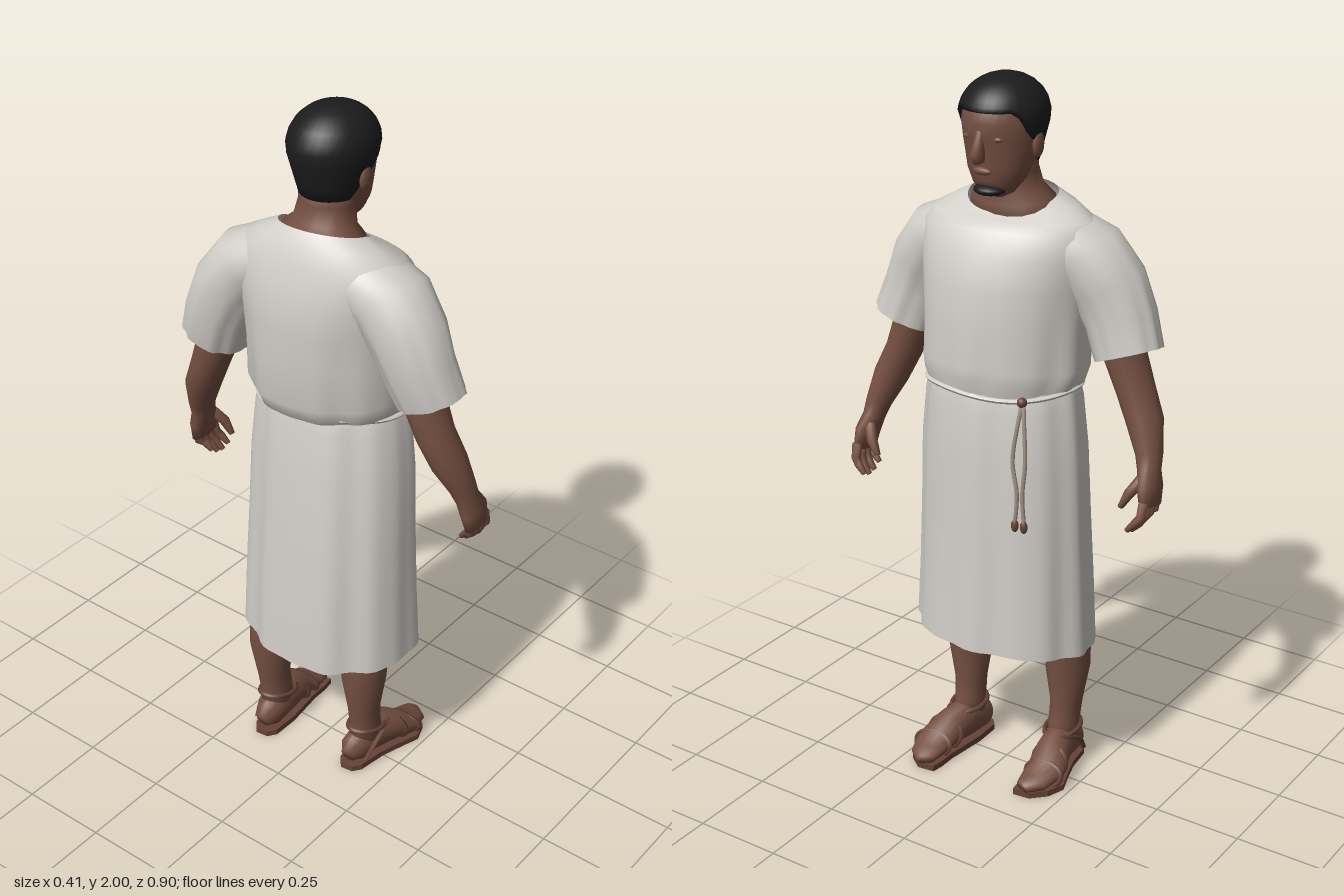
import * as THREE from 'three';

const mat = (name, color, extra = {}) => {
  const m = new THREE.MeshStandardMaterial({ color, ...extra });
  m.name = name;
  return m;
};
const V = (x, y, z) => new THREE.Vector3(x, y, z);

// Smooth skin through elliptical rings. Each ring: [x, y, z, radiusAlongSide, radiusAcross, foldDepth]
function sweep(rings, { side = V(1, 0, 0), seg = 20, caps = true, warp = null } = {}) {
  const pos = [], idx = [], n = rings.length;
  const c = rings.map(r => V(r[0], r[1], r[2]));
  rings.forEach((r, i) => {
    const d = c[Math.min(i + 1, n - 1)].clone().sub(c[Math.max(i - 1, 0)]).normalize();
    const u = side.clone().addScaledVector(d, -side.dot(d)).normalize();
    const v = d.clone().cross(u);
    for (let j = 0; j < seg; j++) {
      const a = (j / seg) * Math.PI * 2;
      const f = 1 + (r[5] || 0) * (Math.cos(9 * a + 0.6) + 0.6 * Math.cos(14 * a + 1) + 0.4 * Math.sin(5 * a));
      const p = c[i].clone().addScaledVector(u, Math.cos(a) * r[3] * f).addScaledVector(v, Math.sin(a) * r[4] * f);
      if (warp) warp(p, i);
      pos.push(p.x, p.y, p.z);
    }
  });
  for (let i = 0; i < n - 1; i++) for (let j = 0; j < seg; j++) {
    const a = i * seg + j, b = i * seg + (j + 1) % seg;
    idx.push(a, b, b + seg, a, b + seg, a + seg);
  }
  if (caps) {
    const s = pos.length / 3;
    pos.push(...c[0].toArray(), ...c[n - 1].toArray());
    for (let j = 0; j < seg; j++) {
      const k = (j + 1) % seg, e = (n - 1) * seg;
      idx.push(s, k, j, s + 1, e + j, e + k);
    }
  }
  const g = new THREE.BufferGeometry();
  g.setAttribute('position', new THREE.Float32BufferAttribute(pos, 3));
  g.setIndex(idx);
  return g;
}

const tube = (pts, r, closed = false, seg = 32) =>
  new THREE.TubeGeometry(new THREE.CatmullRomCurve3(pts, closed), seg, r, 6, closed);
const loop = (fn, r, n = 24) =>
  tube(Array.from({ length: n }, (_, i) => fn((i / n) * Math.PI * 2)), r, true, n * 2);
const ball = (x, y, z, rx, ry, rz) => new THREE.SphereGeometry(1, 16, 12).scale(rx, ry, rz).translate(x, y, z);

// Cap of hair whose lower edge follows the hairline, with an inward lip
function hairGeometry() {
  const rows = 10, { smoothstep } = THREE.MathUtils;
  const rings = Array.from({ length: rows + 2 }, (_, i) => [0, 1.7 + i * 0.02, 0, 1, 1]);
  return sweep(rings, {
    seg: 32, caps: false, warp: (p, i) => {
      const front = (p.x + 1) / 2;
      const bottom = 1.775 + 0.07 * smoothstep(front, 0.3, 0.55) + 0.075 * smoothstep(front, 0.6, 0.85);
      const t = Math.max(0, i - 1) / rows;
      const y = bottom + (2 - bottom) * Math.sin(t * Math.PI / 2);
      let r = y > 1.89 ? Math.sqrt(Math.max(0, 1 - Math.pow((y - 1.89) / 0.11, 2.2))) : 1 - 2.2 * (1.89 - y);
      if (i === 0) r *= 0.8;
      p.set(0.01 + p.x * 0.13 * r, y, p.z * 0.114 * r);
    },
  });
}

export function createModel() {
  const group = new THREE.Group();
  const skin = mat('skin', 0x765042);
  const cloth = mat('cloth', 0xd2cec8, { side: THREE.DoubleSide });
  const hair = mat('hair', 0x1c1c1d, { side: THREE.DoubleSide });
  const leather = mat('leather', 0x664236);
  const cord = mat('cord', 0xa09184);

  // The body is turned slightly, so its +z side sits further forward than its -z side
  const turn = 0.12;
  const add = (name, g, m, turned = true) => {
    if (turned) {
      const p = g.attributes.position;
      for (let i = 0; i < p.count; i++) p.setX(i, p.getX(i) + turn * p.getZ(i));
    }
    g.computeVertexNormals();
    const mesh = new THREE.Mesh(g, m);
    mesh.name = name;
    group.add(mesh);
  };

  // Tunic: bodice bloused over the belt, then the skirt with its sloping hem
  add('bodice', sweep([
    [0.01, 1.17, 0, 0.152, 0.2, 0.008], [0.01, 1.195, 0, 0.165, 0.212, 0.016], [0, 1.235, 0, 0.176, 0.221, 0.014],
    [-0.005, 1.35, 0, 0.177, 0.219, 0.007], [-0.01, 1.45, 0, 0.176, 0.226, 0.003], [-0.02, 1.53, 0, 0.164, 0.24],
    [-0.03, 1.59, 0, 0.142, 0.245], [-0.035, 1.63, 0, 0.12, 0.222], [-0.035, 1.66, 0, 0.103, 0.17],
    [-0.03, 1.683, 0, 0.086, 0.12],
  ], { seg: 72, caps: false, warp: (p, i) => { p.y -= Math.max(0, i - 6) * 0.08 * Math.max(0, p.x + 0.03); } }), cloth);
  // The turn of the waist fades out towards the hem
  add('skirt', sweep([
    [0.01, 1.19, 0, 0.152, 0.2, 0.008], [0.01, 1.14, 0, 0.164, 0.215, 0.014], [0.006, 1, 0.002, 0.177, 0.234, 0.014],
    [0, 0.8, 0.004, 0.187, 0.247, 0.016], [-0.004, 0.6, 0.005, 0.197, 0.255, 0.02], [-0.005, 0.42, 0.006, 0.204, 0.264, 0.022],
  ], {
    seg: 72, caps: false, warp: (p, i) => {
      if (i === 5) p.y += p.x * 0.12;
      p.x += turn * p.z * Math.max(0, 1 - i / 3);
    },
  }), cloth, false);

  // Belt and its hanging cord ends
  add('belt', loop(a => V(0.01 + 0.159 * Math.cos(a), 1.181 + 0.006 * Math.sin(3 * a), 0.207 * Math.sin(a)), 0.007), cloth);
  for (const s of [-1, 1]) {
    add('cordEnd', tube([V(0.142, 1.19, -0.135), V(0.16, 1.13, -0.14 + s * 0.008), V(0.174, 1.02, -0.142 + s * 0.018),
      V(0.18, 0.93, -0.148 + s * 0.008), V(0.184, 0.83, -0.15 + s * 0.015)], 0.006), cord);
    add('cordTassel', ball(0.184, 0.842, -0.15 + s * 0.013, 0.009, 0.018, 0.01), leather);
  }
  add('cordKnot', ball(0.148, 1.178, -0.135, 0.013, 0.014, 0.013), leather);

  for (const s of [1, -1]) {
    // Sleeve
    add('sleeve', sweep([
      [-0.037, 1.57, 0.14 * s, 0.106, 0.088], [-0.042, 1.535, 0.205 * s, 0.107, 0.1], [-0.052, 1.46, 0.258 * s, 0.097, 0.1, 0.01],
      [-0.055, 1.375, 0.294 * s, 0.087, 0.093, 0.018], [-0.042, 1.285, 0.326 * s, 0.078, 0.09, 0.025],
    ], { seg: 48, caps: false }), cloth);

    // Arm and hand
    add('arm', sweep([
      [-0.05, 1.45, 0.26 * s, 0.062, 0.06], [-0.052, 1.28, 0.31 * s, 0.058, 0.053], [-0.05, 1.19, 0.343 * s, 0.054, 0.048],
      [-0.038, 1.11, 0.378 * s, 0.051, 0.046], [-0.015, 1.03, 0.405 * s, 0.038, 0.034], [-0.002, 0.99, 0.413 * s, 0.036, 0.028],
      [0.012, 0.95, 0.424 * s, 0.048, 0.027], [0.02, 0.9, 0.43 * s, 0.046, 0.019],
    ]), skin);
    for (let i = 0; i < 4; i++) {
      const x = 0.02 + (i - 1.5) * 0.023, drop = [0.02, 0.005, 0, 0.008][i];
      add('finger', sweep([[x, 0.92, 0.43 * s, 0.013, 0.014], [x + 0.01, 0.88, 0.428 * s, 0.012, 0.013],
        [x + 0.017, 0.855 + drop, 0.415 * s, 0.011, 0.011], [x + 0.021, 0.833 + drop, 0.395 * s, 0.007, 0.007]], { seg: 8 }), skin);
    }
    add('thumb', sweep([[0.025, 0.975, 0.41 * s, 0.016, 0.016], [0.05, 0.935, 0.385 * s, 0.014, 0.014],
      [0.055, 0.895, 0.365 * s, 0.008, 0.008]], { seg: 8 }), skin);

    // Leg and foot
    add('leg', sweep([
      [-0.02, 0.85, 0.11 * s, 0.09, 0.09], [-0.04, 0.55, 0.145 * s, 0.068, 0.068], [-0.06, 0.4, 0.152 * s, 0.066, 0.063],
      [-0.064, 0.31, 0.153 * s, 0.064, 0.059], [-0.06, 0.2, 0.152 * s, 0.049, 0.042], [-0.052, 0.14, 0.15 * s, 0.049, 0.04],
      [-0.045, 0.07, 0.15 * s, 0.055, 0.04],
    ]), skin);
    add('foot', sweep([
      [-0.125, 0.048, 0.145 * s, 0.02, 0.025], [-0.1, 0.058, 0.145 * s, 0.038, 0.045], [-0.03, 0.076, 0.15 * s, 0.043, 0.063],
      [0.03, 0.069, 0.162 * s, 0.048, 0.055], [0.09, 0.046, 0.176 * s, 0.055, 0.033], [0.14, 0.035, 0.168 * s, 0.045, 0.023],
      [0.172, 0.03, 0.153 * s, 0.024, 0.015],
    ], { side: V(0, 0, 1) }), skin);

    // Sandal
    const sole = [[-0.132, 0.145, 0.018], [-0.11, 0.145, 0.036], [-0.03, 0.15, 0.043], [0.04, 0.165, 0.05],
      [0.09, 0.177, 0.056], [0.14, 0.168, 0.047], [0.174, 0.151, 0.025]];
    const outline = [...sole.map(([x, z, w]) => new THREE.Vector2(x, -(z * s + w))),
      ...sole.slice().reverse().map(([x, z, w]) => new THREE.Vector2(x, -(z * s - w)))];
    const soleGeo = new THREE.ExtrudeGeometry(new THREE.Shape(outline), { depth: 0.018, bevelEnabled: false });
    add('sole', soleGeo.rotateX(-Math.PI / 2), leather);
    for (const [x, y, z, ry, rz] of [[0.1, 0.043, 0.176, 0.033, 0.053], [0.052, 0.058, 0.167, 0.046, 0.049]])
      add('toeStrap', loop(a => V(x - 0.01 * Math.sin(a), y + ry * Math.sin(a), (z + rz * Math.cos(a)) * s), 0.008), leather);
    add('ankleStrap', loop(a => V(-0.045 + 0.058 * Math.cos(a), 0.12 - 0.01 * Math.cos(a), (0.15 + 0.045 * Math.sin(a)) * s), 0.007), leather);
    add('heelStrap', tube([V(-0.1, 0.03, 0.185 * s), V(-0.06, 0.08, 0.193 * s), V(0.0, 0.112, 0.187 * s), V(0.03, 0.118, 0.16 * s)], 0.007), leather);
  }

  // Neck and head
  add('neck', sweep([[-0.035, 1.6, 0, 0.098, 0.135], [-0.032, 1.675, 0, 0.088, 0.118], [-0.025, 1.7, 0, 0.073, 0.086],
    [-0.018, 1.75, 0, 0.069, 0.074], [-0.01, 1.83, 0, 0.075, 0.08]]), skin, false);
  add('head', sweep([
    [0.07, 1.702, 0, 0.028, 0.032], [0.06, 1.715, 0, 0.05, 0.055], [0.045, 1.75, 0, 0.072, 0.078], [0.03, 1.79, 0, 0.091, 0.09],
    [0.02, 1.83, 0, 0.106, 0.097], [0.015, 1.88, 0, 0.117, 0.102], [0.012, 1.93, 0, 0.108, 0.096], [0.01, 1.965, 0, 0.07, 0.07],
  ], { seg: 28 }), skin, false);
  add('nose', sweep([[0.116, 1.875, 0, 0.012, 0.01], [0.126, 1.84, 0, 0.016, 0.013], [0.132, 1.812, 0, 0.023, 0.018],
    [0.125, 1.795, 0, 0.016, 0.015]], { seg: 12 }), skin, false);
  add('mouth', ball(0.112, 1.767, 0, 0.01, 0.01, 0.028), skin, false);
  for (const s of [1, -1]) {
    add('ear', ball(0.008, 1.828, s * 0.1, 0.022, 0.034, 0.011), skin, false);
    add('eyelid', ball(0.109, 1.852, s * 0.04, 0.008, 0.008, 0.018), skin, false);
  }
  add('beard', ball(0.077, 1.713, 0, 0.04, 0.016, 0.044), hair, false);
  add('hair', hairGeometry(), hair, false);
  return group;
}
